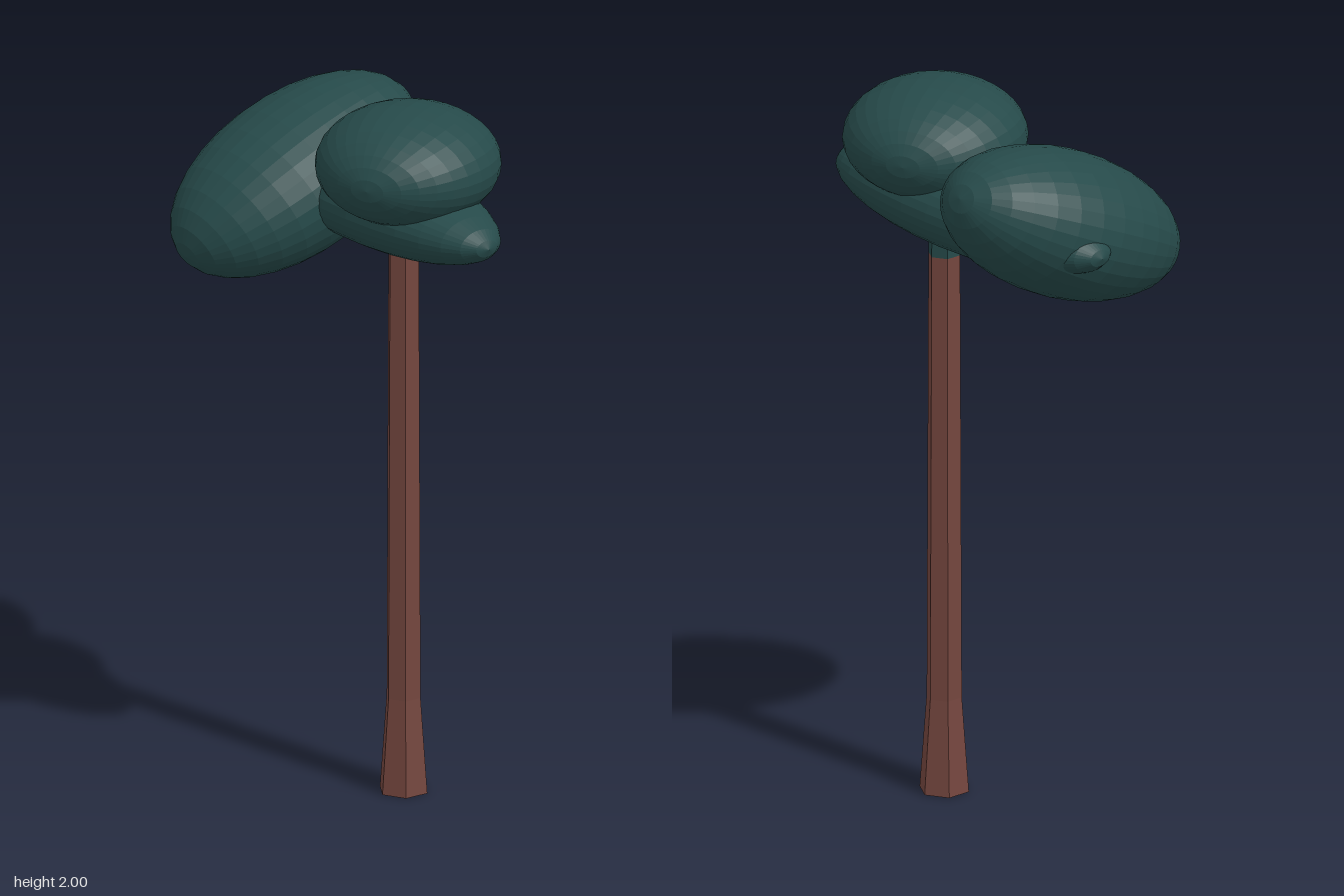
import * as THREE from 'three';

export function createModel() {
  const group = new THREE.Group();
  const foliage = new THREE.MeshStandardMaterial({ color: 0x264a4a, flatShading: true });
  foliage.name = 'dark green foliage';
  const bark = new THREE.MeshStandardMaterial({ color: 0x74463e, flatShading: true });
  bark.name = 'red brown bark';

  // Hexagonal trunk: flared foot, long shaft, green neck inside the canopy
  const trunk = new THREE.Group();
  trunk.name = 'trunk';
  trunk.position.set(0.07, 0, -0.13);
  group.add(trunk);
  function section(name, y0, y1, r0, r1, material) {
    const geometry = new THREE.CylinderGeometry(r1, r0, y1 - y0, 6, 1, true);
    const mesh = new THREE.Mesh(geometry, material);
    mesh.name = name;
    mesh.position.y = (y0 + y1) / 2;
    trunk.add(mesh);
  }
  section('trunkFoot', 0, 0.27, 0.07, 0.05, bark);
  section('trunkShaft', 0.27, 1.545, 0.05, 0.045, bark);
  section('trunkNeck', 1.545, 1.66, 0.045, 0.044, foliage);

  // Green underside of the trunk
  const base = new THREE.Mesh(new THREE.CircleGeometry(0.07, 6, Math.PI / 6), foliage);
  base.name = 'trunkBase';
  base.rotation.x = Math.PI / 2;
  base.rotation.z = 0;
  trunk.add(base);
  base.geometry.rotateZ(Math.PI / 3);

  // Ellipsoid leaf clumps, with the sphere's poles along the given axis
  function clump(name, center, radii, poleAxis, tilt) {
    const geometry = new THREE.SphereGeometry(1, 32, 16);
    if (poleAxis === 'z') geometry.rotateX(Math.PI / 2);
    if (poleAxis === 'x') geometry.rotateZ(Math.PI / 2);
    geometry.scale(...radii);
    const mesh = new THREE.Mesh(geometry, foliage);
    mesh.name = name;
    mesh.position.set(...center);
    mesh.rotation.set(...tilt);
    group.add(mesh);
  }
  clump('upperClump', [0.175, 1.84, -0.07], [0.25, 0.16, 0.26], 'z', [0, 0.5, 0]);
  clump('tiltedClump', [-0.255, 1.695, 0], [0.25, 0.202, 0.395], 'z', [0.42, 0, 0]);
  clump('lowerClump', [0, 1.69, -0.086], [0.527, 0.12, 0.176], 'x', [0, 0, 0]);

  return group;
}
